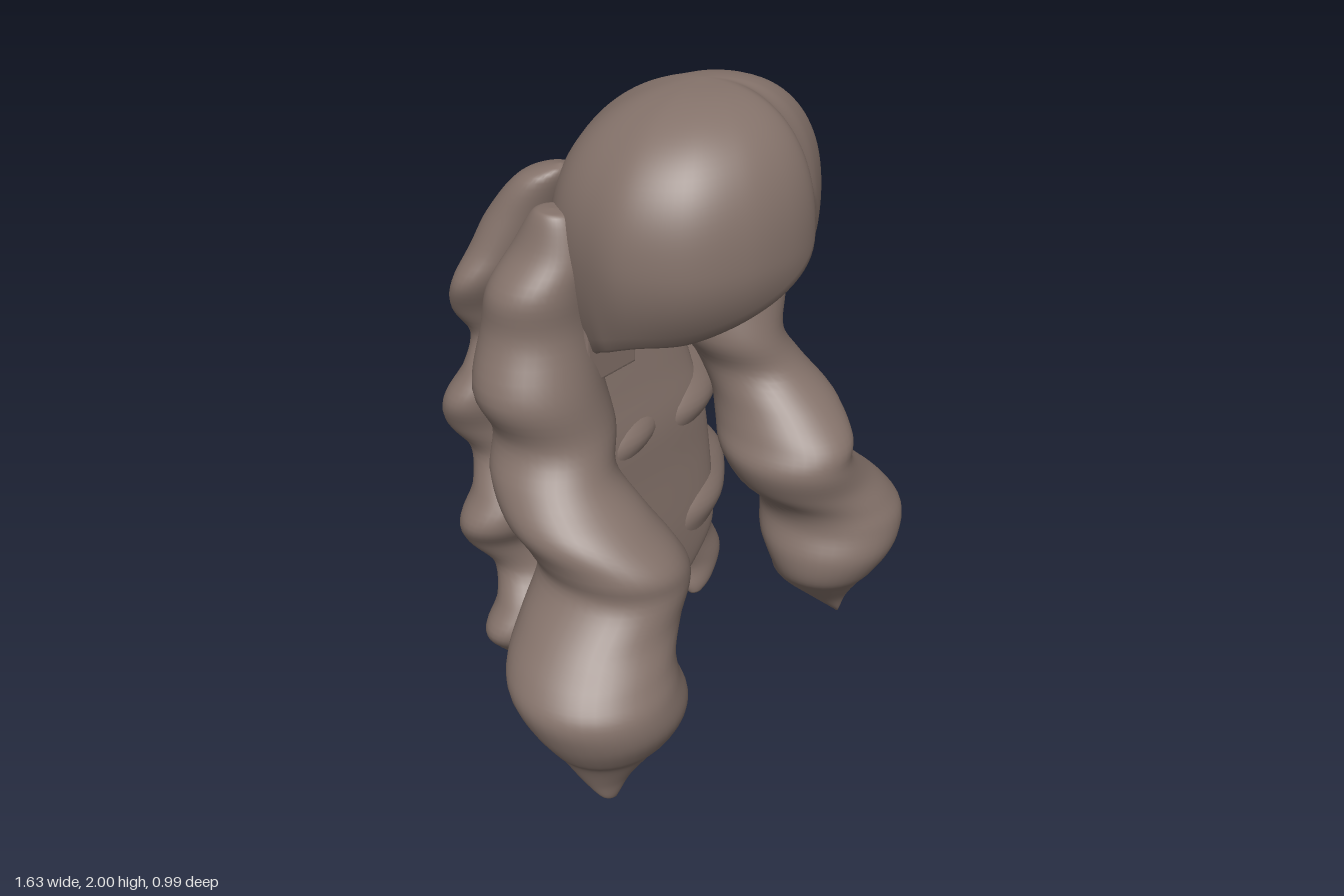
import * as THREE from 'three';

const hair = new THREE.MeshStandardMaterial({ color: 0x84726a, roughness: 0.8 });

// Skin a list of closed rings, ordered from top to bottom
function loft(name, rings) {
  const n = rings[0].length, index = [];
  for (let i = 0; i < rings.length - 1; i++) {
    for (let j = 0; j < n; j++) {
      const k = (j + 1) % n;
      const a = i * n + j, b = i * n + k, c = a + n, d = b + n;
      index.push(a, b, c, b, d, c);
    }
  }
  const geo = new THREE.BufferGeometry().setFromPoints(rings.flat());
  geo.setIndex(index);
  geo.computeVertexNormals();
  const mesh = new THREE.Mesh(geo, hair);
  mesh.name = name;
  return mesh;
}

// Lock of hair from rows of [y, xMin, xMax, zFront, zBack]; power < 1 squares the section
function lock(name, rows, power = 1, sides = 40) {
  const centre = new THREE.CatmullRomCurve3(
    rows.map(([y, x0, x1, zf, zb]) => new THREE.Vector3((x0 + x1) / 2, y, (zf + zb) / 2)), false, 'catmullrom');
  const radius = new THREE.CatmullRomCurve3(
    rows.map(([y, x0, x1, zf, zb]) => new THREE.Vector3((x1 - x0) / 2, 0, (zf - zb) / 2)), false, 'catmullrom');
  const soft = v => Math.sign(v) * Math.abs(v) ** power;
  const steps = (rows.length - 1) * 5, rings = [];
  for (let i = 0; i <= steps; i++) {
    const c = centre.getPoint(i / steps), r = radius.getPoint(i / steps);
    // first and last rings close to a point
    const open = i === 0 || i === steps ? 0 : 1;
    rings.push(Array.from({ length: sides }, (_, j) => {
      const a = j / sides * Math.PI * 2;
      return new THREE.Vector3(c.x + open * r.x * soft(Math.cos(a)), c.y, c.z + open * r.z * soft(Math.sin(a)));
    }));
  }
  return loft(name, rings);
}

// Crown with a swept, parted fringe: [x, hem height, z] around the head
function crown() {
  const hem = new THREE.CatmullRomCurve3([
    [0.43, 1.24, 0.05], [0.42, 1.37, 0.2], [0.37, 1.48, 0.28], [0.28, 1.64, 0.33], [0.18, 1.77, 0.35],
    [0.12, 1.74, 0.43], [0.05, 1.6, 0.48], [-0.06, 1.52, 0.49], [-0.2, 1.46, 0.46], [-0.34, 1.41, 0.37],
    [-0.42, 1.39, 0.22], [-0.41, 1.34, 0.08], [-0.36, 1.27, -0.06], [-0.22, 1.48, -0.18],
    [0, 1.5, -0.27], [0.2, 1.48, -0.19], [0.38, 1.26, -0.07],
  ].map(p => new THREE.Vector3(...p)), true);
  const top = new THREE.Vector3(0.03, 2, 0.12), sides = 120, rows = 30;
  const outline = Array.from({ length: sides }, (_, j) => hem.getPoint(j / sides));
  const ring = (s, scale, drop) => outline.map(p => {
    const y = top.y - (top.y - p.y) * s ** 1.7;
    const d = Math.min(1, (top.y - y) / 0.4);
    const front = (p.z - top.z) / 0.37, right = (top.x - p.x) / 0.45;
    // lower fringe curls inwards; the forehead is fuller than the nape
    const tuck = Math.max(0, 1.62 - y) ** 2 * (4 * Math.max(0, front) + 1.5 * Math.max(0, right));
    const f = ((1 - (1 - d) ** 2.4) ** (0.47 - 0.1 * front) - tuck) * scale;
    return new THREE.Vector3(top.x + (p.x - top.x) * f, y - drop, top.z + (p.z - top.z) * f);
  });
  const rings = [];
  for (let i = 0; i <= rows; i++) rings.push(ring(i / rows, 1, 0));
  rings.push(ring(1, 0.96, 0.012));
  // inner wall back up to the top
  for (let i = rows; i >= 0; i--) rings.push(ring(i / rows, 0.92, i === rows ? 0 : 0.03));
  return loft('crownAndFringe', rings);
}

// Squared opening around the face
function faceFrame() {
  const s = new THREE.Shape();
  [[-0.36, 1.23], [-0.18, 1.23], [-0.18, 1.67], [0.24, 1.67], [0.24, 1.23], [0.42, 1.23],
    [0.4, 1.5], [0.32, 1.72], [-0.28, 1.72], [-0.36, 1.5]]
    .forEach(([x, y], i) => (i ? s.lineTo(x, y) : s.moveTo(x, y)));
  s.closePath();
  const geo = new THREE.ExtrudeGeometry(s, {
    depth: 0.14, bevelEnabled: true, bevelSize: 0.01, bevelThickness: 0.01, bevelSegments: 3,
  });
  geo.translate(0, 0, -0.09);
  const mesh = new THREE.Mesh(geo, hair);
  mesh.name = 'faceFrame';
  return mesh;
}

// Long lock beside the face, on the left side
const sideRows = [
  [1.715, 0.36, 0.4, -0.02, -0.08], [1.695, 0.32, 0.42, 0.015, -0.12], [1.6, 0.28, 0.46, 0.05, -0.18],
  [1.5, 0.26, 0.54, 0.05, -0.22], [1.38, 0.25, 0.55, 0.05, -0.25], [1.22, 0.25, 0.61, 0.09, -0.25],
  [1.08, 0.24, 0.56, 0.12, -0.23], [0.97, 0.29, 0.61, 0.17, -0.2], [0.87, 0.28, 0.64, 0.29, -0.14],
  [0.78, 0.25, 0.61, 0.385, -0.1], [0.7, 0.22, 0.6, 0.4, -0.06], [0.6, 0.26, 0.7, 0.41, -0.04],
  [0.52, 0.33, 0.78, 0.45, -0.02], [0.45, 0.35, 0.815, 0.485, 0], [0.36, 0.32, 0.79, 0.49, 0.03],
  [0.27, 0.33, 0.74, 0.45, 0.09], [0.2, 0.38, 0.69, 0.4, 0.1], [0.1, 0.48, 0.64, 0.34, 0.19],
  [0.03, 0.55, 0.6, 0.315, 0.27], [0, 0.58, 0.585, 0.3, 0.29],
];

// Twisted back lock: [y, half width, zFront, zBack]
const backRows = [
  [1.79, 0.02, -0.1, -0.14], [1.75, 0.09, -0.1, -0.24], [1.64, 0.15, -0.13, -0.34], [1.54, 0.17, -0.17, -0.38],
  [1.45, 0.18, -0.22, -0.4], [1.35, 0.18, -0.25, -0.45], [1.26, 0.18, -0.24, -0.43], [1.17, 0.19, -0.21, -0.42],
  [1.08, 0.19, -0.23, -0.45], [0.98, 0.2, -0.23, -0.5], [0.88, 0.2, -0.18, -0.47], [0.78, 0.2, -0.125, -0.41],
  [0.69, 0.2, -0.15, -0.41], [0.6, 0.2, -0.18, -0.44], [0.5, 0.19, -0.14, -0.39], [0.4, 0.18, -0.09, -0.33],
  [0.31, 0.18, -0.105, -0.33], [0.22, 0.16, -0.13, -0.36], [0.12, 0.12, -0.125, -0.3], [0.04, 0.07, -0.12, -0.21],
  [0, 0.02, -0.13, -0.16],
];

// Inner layer joining the back locks, ending in a point
const sheetRows = [
  [1.7, -0.1, 0.14, -0.15, -0.19], [1.55, -0.2, 0.26, -0.15, -0.22], [1.35, -0.27, 0.32, -0.18, -0.28],
  [1.17, -0.3, 0.36, -0.22, -0.3], [0.95, -0.33, 0.39, -0.18, -0.27], [0.78, -0.35, 0.42, -0.14, -0.23],
  [0.6, -0.36, 0.44, -0.125, -0.22], [0.4, -0.36, 0.44, -0.105, -0.2], [0.28, -0.35, 0.43, -0.1, -0.19],
  [0.18, -0.26, 0.34, -0.1, -0.18], [0.08, -0.1, 0.18, -0.1, -0.17], [0.03, 0.02, 0.06, -0.11, -0.15],
];

export function createModel() {
  const model = new THREE.Group();
  model.name = 'wavyHair';
  model.add(crown(), faceFrame(), lock('backSheet', sheetRows, 0.55));

  for (const side of [1, -1]) {
    const rows = sideRows.map(([y, inner, outer, zf, zb]) => {
      const a = side * inner + 0.02, b = side * outer;
      return [y, Math.min(a, b), Math.max(a, b), zf, zb];
    });
    // the tip ends in a point on either side
    rows[rows.length - 1][1] = rows[rows.length - 1][2] = side * 0.575 + 0.025;
    model.add(lock(side > 0 ? 'leftSideLock' : 'rightSideLock', rows));
  }

  // [name, x at the waist, lean of the root, spread of the ends]
  const backs = [
    ['rightBackLock', -0.28, 0.02, -0.03], ['middleBackLock', 0.05, 0.08, 0.02], ['leftBackLock', 0.33, -0.01, 0.05],
  ];
  for (const [name, x, lean, spread] of backs) {
    model.add(lock(name, backRows.map(([y, half, zf, zb]) => {
      const root = Math.max(0, (y - 1.3) / 0.5), end = Math.max(0, 1 - y / 0.98);
      const sway = 0.05 * Math.sin(Math.PI * 2 * (y - 0.78) / 0.38) * (1 - root);
      const cx = x + sway + lean * root + spread * end;
      return [y, cx - half, cx + half, zf, zb];
    })));
  }
  return model;
}
